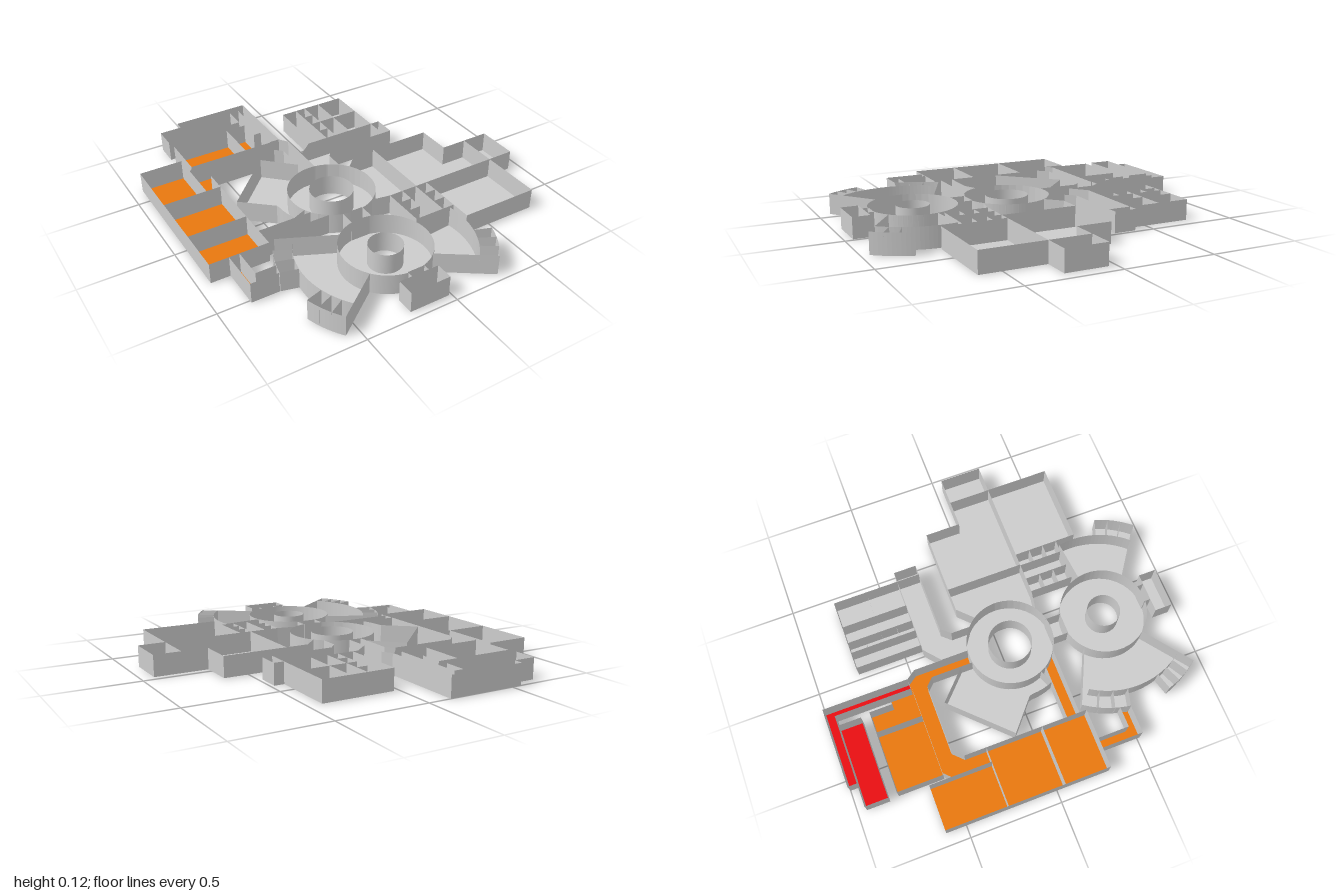
import * as THREE from 'three';
import { mergeGeometries } from 'three/addons/utils/BufferGeometryUtils.js';

const H = 0.115;
const material = (color) => new THREE.MeshStandardMaterial({ color, side: THREE.DoubleSide });
const grey = material(0xcccccc), orange = material(0xe8780e), red = material(0xe80e12);
const hubA = [-0.12, 0.055], hubB = [-0.135, 0.595];

// Points of an arc around a hub, angles in degrees from +x towards +z
function arc([cx, cz], r, from, to, steps = 10) {
  return Array.from({ length: steps + 1 }, (_, i) => {
    const a = THREE.MathUtils.degToRad(from + ((to - from) * i) / steps);
    return [cx + r * Math.cos(a), cz + r * Math.sin(a)];
  });
}

// Thin upright walls following a list of paths
function walls(paths, name) {
  const panels = [];
  for (const path of paths) {
    for (let i = 1; i < path.length; i++) {
      const [x0, z0] = path[i - 1], [x1, z1] = path[i];
      const panel = new THREE.PlaneGeometry(Math.hypot(x1 - x0, z1 - z0), H);
      panel.rotateY(-Math.atan2(z1 - z0, x1 - x0));
      panel.translate((x0 + x1) / 2, H / 2, (z0 + z1) / 2);
      panels.push(panel);
    }
  }
  const mesh = new THREE.Mesh(mergeGeometries(panels), grey);
  mesh.name = name;
  return mesh;
}

// Flat floor with walls round its outline and inner partitions
function section(name, outline, mat = grey, partitions = []) {
  const group = new THREE.Group();
  group.name = name;
  const shape = new THREE.Shape(outline.map(([x, z]) => new THREE.Vector2(x, z)));
  const floor = new THREE.Mesh(new THREE.ShapeGeometry(shape).rotateX(Math.PI / 2), mat);
  floor.name = name + 'Floor';
  group.add(floor, walls([[...outline, outline[0]], ...partitions], name + 'Walls'));
  return group;
}

// Round hub: ring floor with an inner and an outer drum wall
function hub(name, [x, z], inner, outer) {
  const group = new THREE.Group();
  group.name = name;
  const floor = new THREE.Mesh(new THREE.RingGeometry(inner, outer, 64).rotateX(-Math.PI / 2), grey);
  floor.name = name + 'Floor';
  group.add(floor);
  for (const r of [inner, outer]) {
    const drum = new THREE.Mesh(new THREE.CylinderGeometry(r, r, H, 64, 1, true), grey);
    drum.position.y = H / 2;
    drum.name = r === inner ? name + 'InnerWall' : name + 'OuterWall';
    group.add(drum);
  }
  group.position.set(x, 0, z);
  return group;
}

const rect = (x0, z0, x1, z1) => [[x0, z0], [x1, z0], [x1, z1], [x0, z1]];
const radial = (a) => [arc(hubB, 0.455, a, a, 1)[0], arc(hubB, 0.55, a, a, 1)[0]];

export function createModel() {
  const model = new THREE.Group();
  model.name = 'floorPlan';

  // Hubs
  model.add(hub('mainHub', hubA, 0.118, 0.235), hub('frontHub', hubB, 0.09, 0.237));

  // Rear red room and its passage
  model.add(section('rearRoom', [
    [-0.555, -1], [-0.125, -1], [-0.125, -0.53], [-0.18, -0.53], [-0.18, -0.95], [-0.235, -0.95],
    [-0.235, -0.825], [-0.68, -0.825], [-0.68, -0.95], [-0.555, -0.95],
  ], red, [[[-0.555, -0.95], [-0.235, -0.95]]]));

  // Orange rooms with the corridor loop
  model.add(section('sideRooms', [
    [-0.67, -0.775], [-0.225, -0.775], [-0.225, -0.65], [-0.18, -0.65], [-0.18, -0.53], [-0.125, -0.53],
    [-0.09, -0.48], [-0.09, -0.178], [-0.16, -0.178], [-0.16, -0.405], [-0.2, -0.445], [-0.56, -0.445],
    [-0.615, -0.39], [-0.615, 0.18], [-0.32, 0.18], [-0.295, 0.213], [-0.25, 0.25], [-0.615, 0.25],
    [-0.615, 0.29], [-0.775, 0.29], [-0.775, 0.46], [-0.665, 0.46], [-0.68, 0.515], [-0.83, 0.515],
    [-0.83, 0.29], [-0.935, 0.29], [-0.935, -0.61], [-0.695, -0.61], [-0.695, -0.49], [-0.66, -0.525],
    [-0.67, -0.525],
  ], orange, [
    [[-0.66, -0.525], [-0.18, -0.525]],
    [[-0.34, -0.775], [-0.34, -0.525]],
    [[-0.695, -0.49], [-0.695, -0.27]],
    [[-0.935, -0.27], [-0.615, -0.27]],
    [[-0.935, 0.04], [-0.615, 0.04]],
    [[-0.83, 0.29], [-0.775, 0.29]],
    [[-0.615, 0.18], [-0.615, 0.25]],
  ]));

  // Rear cell block
  model.add(section('cellBlock', [
    [0.03, -0.765], [0.425, -0.765], [0.425, -0.4], [0.48, -0.4], [0.48, -0.275], [0.08, -0.275],
    [0.035, -0.225], [0.035, -0.12], [-0.02, -0.158], [-0.088, -0.178], [-0.088, -0.325], [0, -0.4], [0.03, -0.4],
  ], grey, [
    ...[0.12, 0.18, 0.275].map((x) => [[x, -0.765], [x, -0.4]]),
    ...[-0.67, -0.49].map((z) => [[0.12, z], [0.18, z]]),
    [[0.12, -0.58], [0.425, -0.58]],
    [[0.03, -0.4], [0.425, -0.4], [0.425, -0.275]],
  ]));

  // Large halls on the left side
  model.add(section('largeHalls', [
    [0.155, -0.155], [0.635, -0.155], [0.635, 0.04], [0.93, 0.04], [0.93, 0.27], [0.78, 0.27],
    [0.78, 0.62], [0.345, 0.62], [0.345, 0.51], [0.11, 0.51], [0.11, 0.27], [0.01, 0.252],
    ...arc(hubA, 0.235, 52, -34),
  ], grey, [
    [[0.28, -0.155], [0.28, 0.27]],
    [[0.11, 0.27], [0.78, 0.27], [0.78, 0.04]],
    [[0.345, 0.27], [0.345, 0.51]],
    ...[0.19, 0.275].map((x) => [[x, 0.27], [x, 0.51]]),
    ...[0.35, 0.43].flatMap((z) => [[[0.11, z], [0.19, z]], [[0.275, z], [0.345, z]]]),
  ]));

  // Slanted room beside the main hub
  model.add(section('slantedRoom', [
    [-0.315, -0.39], [-0.16, -0.24], [-0.16, -0.178], ...arc(hubA, 0.235, 260, 157),
    ...arc(hubA, 0.315, 157, 179, 4), [-0.44, 0.04], [-0.6, -0.1],
  ]));

  // Links from the front hub
  model.add(section('hubLink', rect(-0.185, 0.28, -0.07, 0.365)));
  model.add(section('frontLink', rect(-0.165, 0.825, -0.07, 0.86)));
  model.add(section('frontRoom', rect(-0.235, 0.86, -0.015, 0.955)));

  // Fan-shaped wings with curved outer pods
  model.add(section('rightWing', [
    ...arc(hubB, 0.237, 142, 229), ...arc(hubB, 0.548, 215.3, 188.3),
    ...arc(hubB, 0.455, 187, 164), ...arc(hubB, 0.548, 164, 142.4),
  ], grey, [
    arc(hubB, 0.455, 213, 187), arc(hubB, 0.455, 164, 142.4),
    ...[149.5, 156.5, 197, 206].map(radial),
  ]));
  model.add(section('leftWing', [
    ...arc(hubB, 0.237, 50, -13), ...arc(hubB, 0.455, -9.5, 17.8), ...arc(hubB, 0.55, 18, 41.3),
  ], grey, [
    arc(hubB, 0.455, 17.8, 43),
    ...[25.8, 33.5].map(radial),
  ]));

  return model;
}
